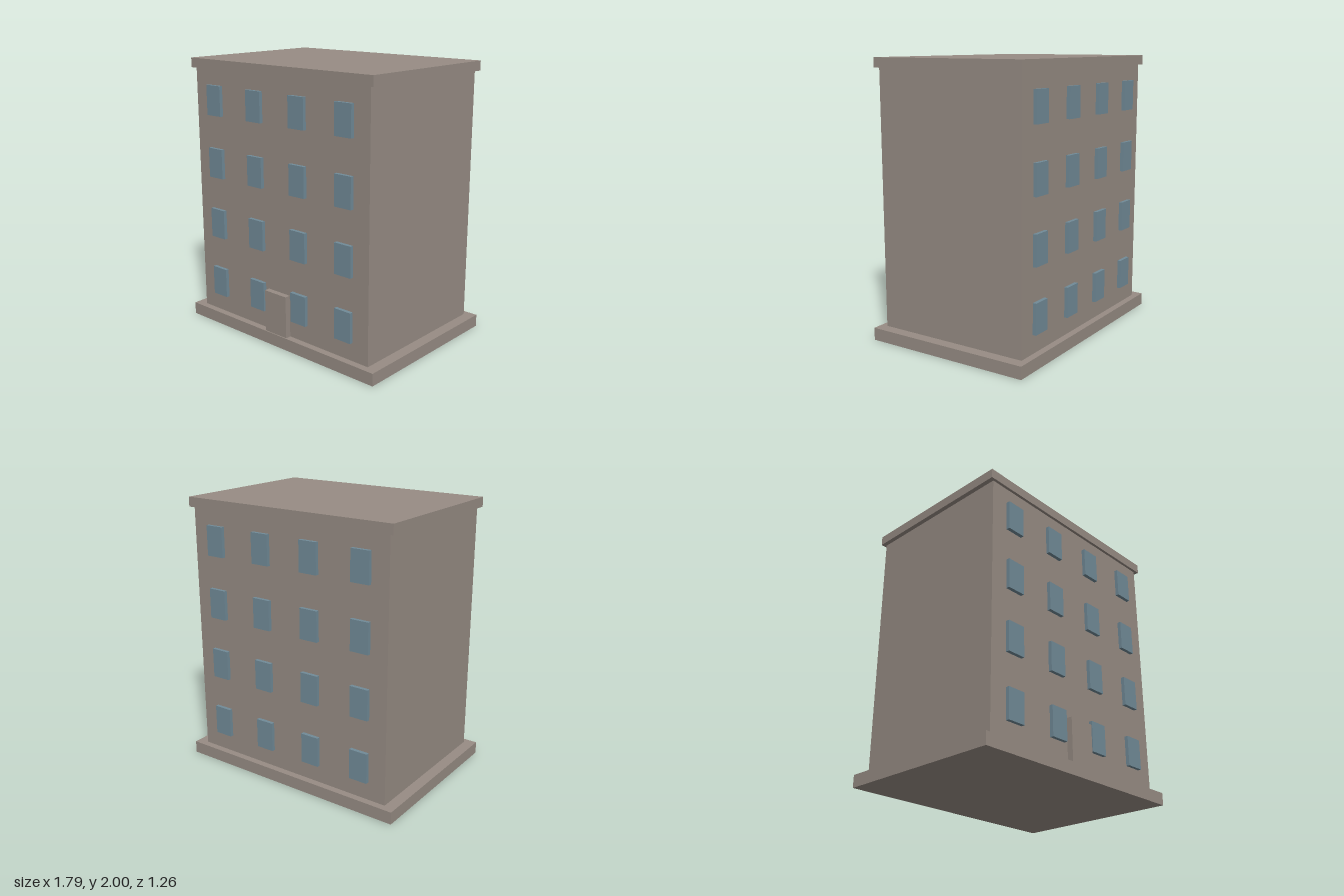
import * as THREE from 'three';

const stone = new THREE.MeshStandardMaterial({ color: 0x978c84 });
stone.name = 'stone';
const glass = new THREE.MeshStandardMaterial({ color: 0x718b98 });
glass.name = 'glass';

// Box given by its size, with its underside at y and its centre at x, z
function box(name, material, [w, h, d], x, y, z) {
  const mesh = new THREE.Mesh(new THREE.BoxGeometry(w, h, d), material);
  mesh.name = name;
  mesh.position.set(x, y + h / 2, z);
  return mesh;
}

export function createModel() {
  const building = new THREE.Group();
  building.name = 'apartmentBuilding';

  // Plinth, main block and overhanging roof slab
  building.add(
    box('plinth', stone, [1.788, 0.09, 1.256], 0, 0, 0),
    box('walls', stone, [1.626, 1.84, 1.156], 0, 0.09, 0),
    box('roofSlab', stone, [1.69, 0.07, 1.196], 0, 1.93, 0)
  );

  // Entrance door
  building.add(box('door', stone, [0.206, 0.31, 0.042], 0, 0.09, 0.599));

  // Four floors of four windows on the front and back
  for (const [side, sign] of [['front', 1], ['back', -1]]) {
    const windows = new THREE.Group();
    windows.name = side + 'Windows';
    for (let floor = 0; floor < 4; floor++) {
      for (let column = 0; column < 4; column++) {
        const x = (column - 1.5) * 0.407;
        windows.add(box('window', glass, [0.14, 0.218, 0.028], x, 0.222 + floor * 0.459, sign * 0.59));
      }
    }
    building.add(windows);
  }

  return building;
}
